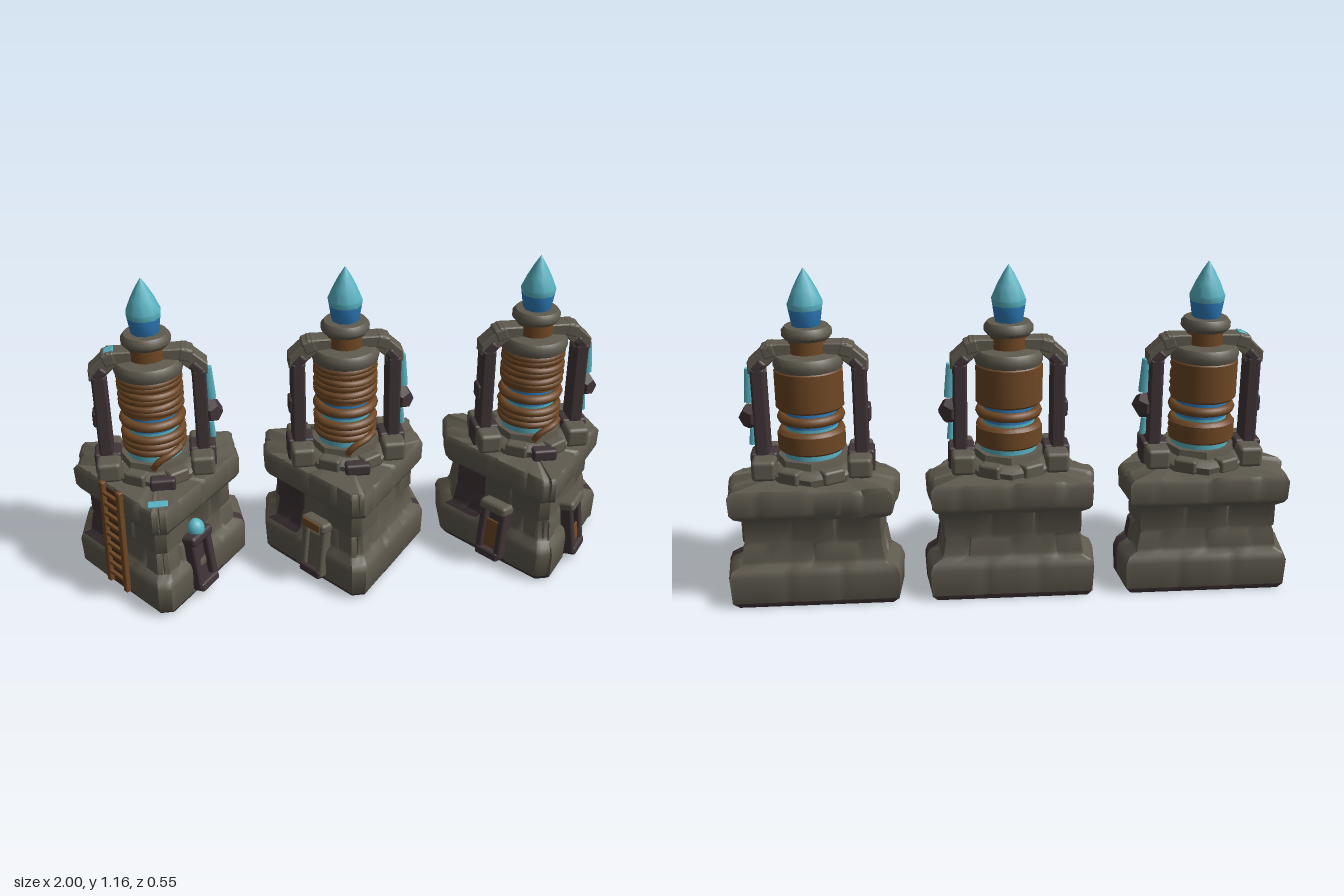
import * as THREE from 'three';
import { toCreasedNormals } from 'three/addons/utils/BufferGeometryUtils.js';
import { RoundedBoxGeometry } from 'three/addons/geometries/RoundedBoxGeometry.js';

const mat = (name, color) => new THREE.MeshStandardMaterial({ name, color });
const stone = mat('stone', 0x5f5a4e);
const dark = mat('dark iron', 0x403437);
const brown = mat('copper brown', 0x6e4724);
const wood = mat('dark wood', 0x4c3120);
const cyan = mat('pale crystal', 0x58b2c2);
const blue = mat('deep crystal', 0x2f7fc0);

function add(parent, name, geo, material, x = 0, y = 0, z = 0) {
  const m = new THREE.Mesh(geo, material);
  m.name = name;
  m.position.set(x, y, z);
  parent.add(m);
  return m;
}
const box = (w, h, d, r = 0.01) => new RoundedBoxGeometry(w, h, d, 2, Math.min(r, w / 2.1, h / 2.1, d / 2.1));
const lathe = (pts, n = 28) =>
  toCreasedNormals(new THREE.LatheGeometry(pts.map(p => new THREE.Vector2(...p)), n), 0.7);

// Five-sided masonry base: stacked courses of blocks around a pointed outline
function baseGeometry(seed) {
  const corners = [[-0.305, -0.1], [-0.025, 0.268], [0.025, 0.268], [0.305, -0.1], [0.287, -0.275], [-0.287, -0.275]];
  const blocks = [3, 1, 3, 1, 3, 1];
  const steps = [0, 0.08, 0.25, 0.42, 0.5, 0.58, 0.92];
  const outline = [];
  corners.forEach((a, e) => {
    const b = corners[(e + 1) % corners.length];
    for (let k = 0; k < blocks[e]; k++) for (const t of steps) {
      const u = (k + t) / blocks[e];
      outline.push({ x: a[0] + (b[0] - a[0]) * u, z: a[1] + (b[1] - a[1]) * u, e, k, t });
    }
  });
  // height, scale, course number (-1 is a joint)
  const rings = [[0.005, 0.93, -1], [0.025, 1.0, 0], [0.12, 1.015, 0], [0.145, 0.98, 0], [0.16, 0.87, -1],
    [0.175, 0.86, 1], [0.23, 0.83, 1], [0.24, 0.81, -1], [0.25, 0.83, 2], [0.325, 0.83, 2],
    [0.34, 0.93, -1], [0.355, 0.97, 3], [0.42, 0.98, 3], [0.437, 0.93, 3]];
  const hash = n => { const s = Math.sin(n * 12.9898 + seed * 4.1) * 43758.5453; return s - Math.floor(s); };
  const pos = [], n = outline.length;
  for (const [y, s, course] of rings) for (const p of outline) {
    const joint = course >= 0 && p.t === (course % 2 ? 0.5 : 0) && !(p.t === 0 && p.k === 0);
    const half = course % 2 && p.t > 0.5 ? 1 : 0;
    const h = hash(p.e * 7 + p.k + half + course * 31);
    const f = s - (joint ? 0.035 : 0) + (course >= 0 ? (h - 0.6) * 0.03 : 0);
    pos.push(p.x * f, y + (course === 3 ? (h - 0.5) * 0.012 : 0), p.z * (p.z < 0 ? (f + 1) / 2 : f));
  }
  pos.push(0, 0.005, 0, 0, 0.44, 0);
  // Dark mortar: outer third of the right front wall and a seam on the left flank
  const light = [], shade = [];
  for (let i = 0; i < rings.length - 1; i++) for (let j = 0; j < n; j++) {
    const k = (j + 1) % n, a = i * n + j, b = i * n + k, c = b + n, d = a + n, p = outline[j];
    const wall = i > 2 && i < 10 && p.e === 0 && p.k === 0;
    const seam = i > 0 && i < 6 && p.e === 3 && p.t < 0.25;
    (i === 0 || wall || seam ? shade : light).push(a, b, c, a, c, d);
  }
  const top = (rings.length - 1) * n, c0 = rings.length * n;
  for (let j = 0; j < n; j++) {
    const k = (j + 1) % n;
    light.push(c0 + 1, top + j, top + k);
    shade.push(c0, k, j);
  }
  const g = new THREE.BufferGeometry();
  g.setAttribute('position', new THREE.Float32BufferAttribute(pos, 3));
  g.setIndex([...light, ...shade]);
  g.addGroup(0, light.length, 0);
  g.addGroup(light.length, shade.length, 1);
  return toCreasedNormals(g, 0.9);
}

// Group leaning on the left (+1) or right (-1) front wall
function onWall(parent, name, side, x, z, lean) {
  const g = new THREE.Group();
  g.name = name;
  g.position.set(side * x, 0, z);
  g.rotation.set(-lean, side * 0.934, 0, 'YXZ');
  parent.add(g);
  return g;
}

function doorFrame(parent, side, x, z, frame, lintel) {
  const g = onWall(parent, 'doorway', side, x, z, 0.13);
  for (const s of [-1, 1]) add(g, 'doorPost', box(0.03, 0.2, 0.06), frame, s * 0.043, 0.135, 0);
  add(g, 'doorRecess', box(0.07, 0.2, 0.03), dark, 0, 0.13, -0.01);
  add(g, 'doorSill', box(0.105, 0.035, 0.06), dark, 0, 0.045, 0.005);
  add(g, 'lintel', box(0.12, 0.04, 0.08, 0.014), lintel, 0, 0.24, 0);
  return g;
}
function panelDoor(parent, side, height) {
  const g = doorFrame(parent, side, 0.162, 0.108, dark, stone);
  add(g, 'doorPanel', box(0.056, height, 0.009, 0.003), brown, 0, 0.068 + height / 2, 0.016);
}
function lampDoor(parent) {
  const g = doorFrame(parent, 1, 0.142, 0.13, dark, dark);
  add(g, 'doorLamp', new THREE.SphereGeometry(0.032, 16, 12), cyan, 0, 0.268, 0.01).scale.y = 1.2;
}
function blockedDoor(parent) {
  const g = doorFrame(parent, -1, 0.145, 0.118, stone, stone);
  add(g, 'doorFill', box(0.06, 0.15, 0.03), stone, 0, 0.13, 0.005);
  add(g, 'brownTrim', box(0.09, 0.03, 0.009, 0.003), brown, 0, 0.24, 0.041);
}

function ladder(parent) {
  const g = onWall(parent, 'ladder', -1, 0.16, 0.1, 0.02);
  for (const s of [-1, 1]) add(g, 'ladderRail', box(0.022, 0.42, 0.02, 0.004), brown, s * 0.05, 0.25, 0.012);
  add(g, 'ladderBack', box(0.09, 0.4, 0.006, 0.002), wood, 0, 0.24, 0.002);
  for (let i = 0; i < 9; i++) add(g, 'ladderRung', box(0.1, 0.014, 0.014, 0.003), brown, 0, 0.08 + i * 0.042, 0.012);
}

// Coil drum, frame and crystal
function turret(parent) {
  const g = new THREE.Group();
  g.name = 'turret';
  g.position.z = -0.065;
  parent.add(g);

  add(g, 'platform', lathe([[0, 0.43], [0.165, 0.43], [0.17, 0.46], [0.155, 0.475], [0.13, 0.48], [0.125, 0.505], [0, 0.505]], 8), stone);
  for (let i = 0; i < 6; i++) {
    const a = i * Math.PI / 3 + Math.PI / 6;
    const b = add(g, 'platformBlock', box(0.08, 0.05, 0.05), stone, Math.sin(a) * 0.14, 0.46, Math.cos(a) * 0.14);
    b.rotation.y = a;
  }
  add(g, 'frontStep', box(0.09, 0.045, 0.05), dark, 0.02, 0.455, 0.16);

  // Recessed glowing core seen between the rings
  add(g, 'energyCore', new THREE.CylinderGeometry(0.092, 0.092, 0.22, 28), blue, 0, 0.725);
  add(g, 'paleCore', new THREE.CylinderGeometry(0.092, 0.092, 0.115, 28), cyan, 0, 0.5575);
  add(g, 'glowBand', new THREE.CylinderGeometry(0.1, 0.1, 0.035, 28), cyan, 0, 0.515);
  // Main drum, ribbed in front and smooth behind
  add(g, 'drum', lathe([[0.085, 0.678], [0.108, 0.678], [0.108, 0.83], [0.085, 0.83]]), brown);
  for (let i = 0; i < 6; i++) {
    const t = add(g, 'coil', new THREE.TorusGeometry(0.101, 0.015, 8, 32), brown, 0, 0.698 + i * 0.023, 0.002);
    t.rotation.set(Math.PI / 2 + (i % 2 ? 0.04 : -0.03), i % 3 ? 0.03 : -0.04, 0);
  }
  const shell = (y0, y1) => {
    const pts = [[0.085, y0], [0.112, y0], [0.12, y0 + 0.008], [0.12, y1 - 0.008], [0.112, y1], [0.085, y1]];
    const geo = new THREE.LatheGeometry(pts.map(p => new THREE.Vector2(...p)), 16, Math.PI / 2 + 0.2, Math.PI - 0.4);
    add(g, 'backPlate', toCreasedNormals(geo, 0.7), brown);
  };
  shell(0.678, 0.825);
  shell(0.527, 0.603);
  // Lower rings
  for (const [y, r] of [[0.645, 0.018], [0.592, 0.016], [0.567, 0.015], [0.542, 0.015]])
    add(g, 'lowerRing', new THREE.TorusGeometry(0.1, r, 8, 32), brown, 0, y).rotation.x = Math.PI / 2;
  const path = new THREE.CatmullRomCurve3([[0.09, 0.55, 0.08], [0.06, 0.545, 0.115], [0.01, 0.52, 0.128], [-0.01, 0.49, 0.12]]
    .map(p => new THREE.Vector3(...p)));
  add(g, 'pipe', new THREE.TubeGeometry(path, 12, 0.012, 8), brown);

  // Shoulder collar, neck and crystal seat
  add(g, 'collar', lathe([[0.09, 0.815], [0.116, 0.82], [0.121, 0.835], [0.12, 0.855], [0.11, 0.868], [0.06, 0.875]]), stone);
  add(g, 'neck', new THREE.CylinderGeometry(0.064, 0.066, 0.08, 20), brown, 0, 0.895);
  add(g, 'crystalSeat', lathe([[0.05, 0.92], [0.075, 0.922], [0.086, 0.935], [0.086, 0.952], [0.075, 0.966], [0.04, 0.968]]), stone);
  add(g, 'crystalBase', lathe([[0.045, 0.96], [0.05, 0.97], [0.059, 1.025]], 10), blue);
  add(g, 'crystalTip', lathe([[0.059, 1.025], [0.062, 1.045], [0.042, 1.092], [0.022, 1.13], [0, 1.165]], 10), cyan);

  // Frame: two posts joined by a chamfered stone arch
  const arch = new THREE.Shape([[-0.2, 0.81], [-0.15, 0.81], [-0.15, 0.825], [-0.11, 0.86], [0.11, 0.86], [0.15, 0.825], [0.15, 0.81],
    [0.2, 0.81], [0.2, 0.845], [0.135, 0.905], [-0.135, 0.905], [-0.2, 0.845]].map(p => new THREE.Vector2(...p)));
  const archGeo = new THREE.ExtrudeGeometry(arch, { depth: 0.06, bevelSize: 0.004, bevelThickness: 0.005, bevelSegments: 1 });
  add(g, 'arch', archGeo, stone, 0, 0, -0.03);
  for (const s of [-1, 1]) {
    add(g, 'post', box(0.05, 0.35, 0.085), dark, s * 0.172, 0.65);
    add(g, 'postFoot', box(0.085, 0.075, 0.22, 0.015), stone, s * 0.165, 0.475);
    add(g, 'footClamp', box(0.095, 0.085, 0.085), dark, s * 0.168, 0.477);
    add(g, 'archBrace', box(0.035, 0.05, 0.085), dark, s * 0.165, 0.83).rotation.z = s * 0.75;
    add(g, 'archCap', box(0.05, 0.05, 0.074), stone, s * 0.13, 0.882).rotation.z = -s * 0.3;
  }
  add(g, 'rightBracket', box(0.02, 0.06, 0.06), dark, -0.198, 0.65);
  // Knob and glowing shards on the left post
  add(g, 'knob', toCreasedNormals(new THREE.DodecahedronGeometry(0.048, 0), 0.3), dark, 0.203, 0.645);
  for (const [y, h, r] of [[0.757, 0.12, 0.02], [0.57, 0.06, 0.013]]) {
    const c = add(g, 'shard', new THREE.CylinderGeometry(r * 0.85, r, h, 6), cyan, 0.206, y);
    c.rotation.z = 0.06;
  }
  return g;
}

function tower(x, seed) {
  const g = new THREE.Group();
  g.name = 'tower';
  g.position.x = x;
  add(g, 'masonryBase', baseGeometry(seed), [stone, dark]);
  turret(g);
  return g;
}

export function createModel() {
  const model = new THREE.Group();
  model.name = 'threeCrystalTowers';
  const [a, b, c] = [-0.69, 0, 0.69].map((x, i) => tower(x, i + 1));
  ladder(a);
  lampDoor(a);
  // Glowing inlays on the prow and the arch of the first tower
  add(a, 'prowGlow', box(0.07, 0.009, 0.035, 0.003), cyan, 0, 0.439, 0.207);
  add(a, 'archGlow', box(0.035, 0.009, 0.04, 0.003), cyan, -0.13, 0.907, -0.065).rotation.z = 0.3;
  blockedDoor(b);
  panelDoor(c, -1, 0.115);
  panelDoor(c, 1, 0.065);
  model.add(a, b, c);
  return model;
}
